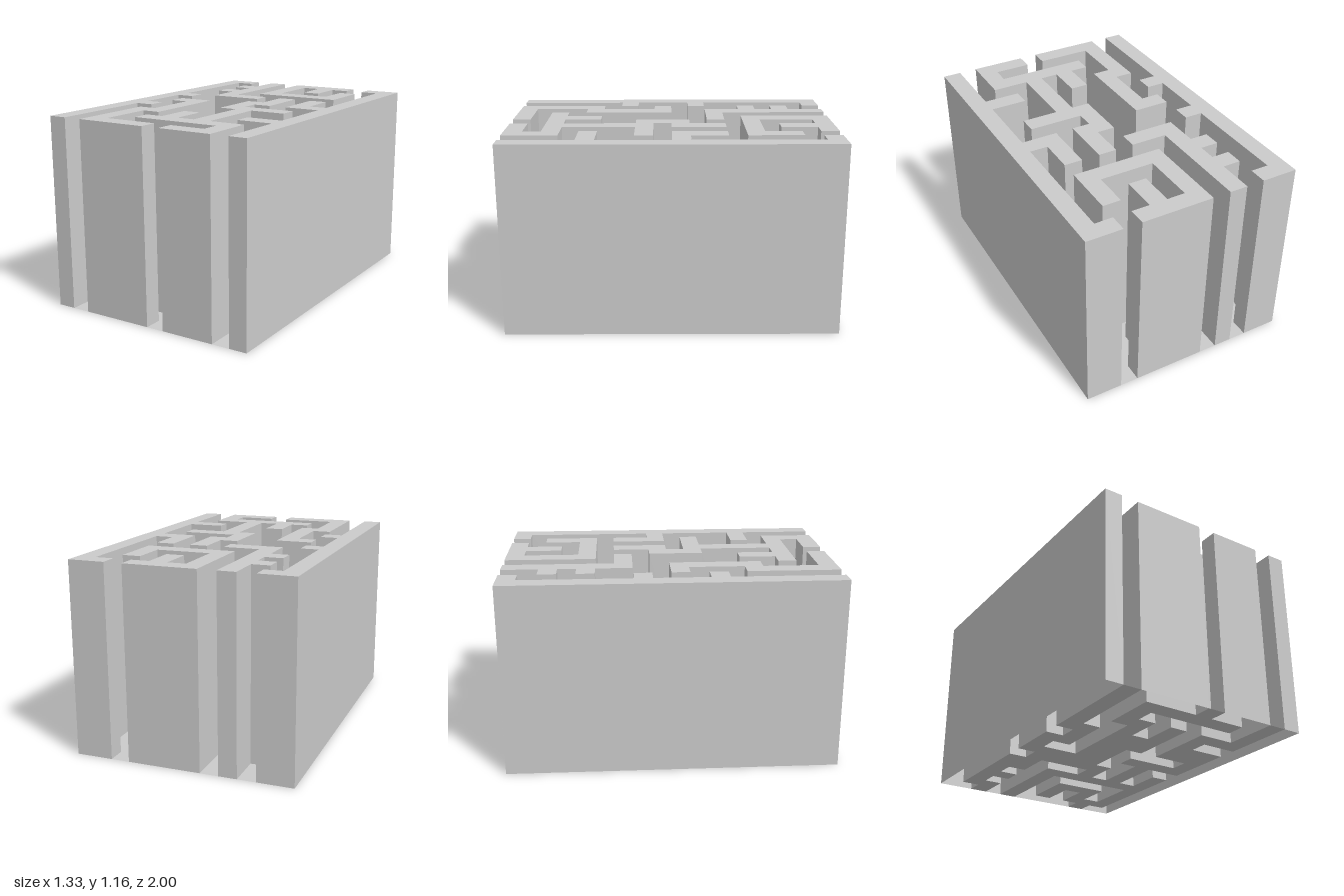
import * as THREE from 'three';

const CELL = 1 / 9, COLS = 12, ROWS = 18, HEIGHT = 1.165;

// Corridor-side outline of each wall in grid cells [column, row], row 0 at the back.
// Taken in order they run once around the corridor floor.
const WALLS = {
  leftOuterWall: {
    path: [[10, 0], [10, 1], [11, 1], [11, 8], [10, 8], [10, 6], [9, 6], [9, 9], [11, 9],
      [11, 13], [9, 13], [9, 14], [11, 14], [11, 18]],
    corners: [[12, 18], [12, 0]],
  },
  frontLeftWall: {
    path: [[10, 18], [10, 15], [8, 15], [8, 11], [10, 11], [10, 10], [7, 10], [7, 9], [8, 9],
      [8, 6], [7, 6], [7, 8], [6, 8], [6, 11], [7, 11], [7, 15], [6, 15], [6, 13], [5, 13],
      [5, 15], [4, 15], [4, 16], [9, 16], [9, 17], [7, 17], [7, 18]],
  },
  frontRightWall: {
    path: [[6, 18], [6, 17], [3, 17], [3, 14], [4, 14], [4, 9], [2, 9], [2, 10], [3, 10],
      [3, 13], [2, 13], [2, 18]],
  },
  rightOuterWall: {
    path: [[1, 18], [1, 12], [2, 12], [2, 11], [1, 11], [1, 8], [2, 8], [2, 7], [1, 7],
      [1, 1], [2, 1], [2, 0]],
    corners: [[0, 0], [0, 18]],
  },
  backRightWall: {
    path: [[3, 0], [3, 2], [2, 2], [2, 3], [3, 3], [3, 4], [2, 4], [2, 5], [3, 5], [3, 7],
      [6, 7], [6, 6], [4, 6], [4, 0]],
  },
  backLeftWall: {
    path: [[5, 0], [5, 5], [10, 5], [10, 2], [9, 2], [9, 4], [6, 4], [6, 1], [7, 1], [7, 3],
      [8, 3], [8, 1], [9, 1], [9, 0]],
  },
};

// Grid outline to a shape that lies flat after turning -90 degrees about x
function gridShape(points) {
  return new THREE.Shape(points.map(([c, r]) =>
    new THREE.Vector2((c - COLS / 2) * CELL, (ROWS / 2 - r) * CELL)));
}

// Hollow wall: top and sides, open underneath
function wallGeometry(points) {
  const solid = new THREE.ExtrudeGeometry(gridShape(points), { depth: HEIGHT, bevelEnabled: false });
  const bottomCount = solid.groups[0].count / 2; // the lower lid is stored first
  const geometry = new THREE.BufferGeometry();
  geometry.setAttribute('position',
    new THREE.BufferAttribute(solid.attributes.position.array.slice(bottomCount * 3), 3));
  geometry.computeVertexNormals();
  return geometry;
}

export function createModel() {
  const group = new THREE.Group();
  group.name = 'mazeBlock';
  const material = new THREE.MeshStandardMaterial({
    color: 0xcccccc, flatShading: true, side: THREE.DoubleSide,
  });

  function add(name, geometry) {
    const mesh = new THREE.Mesh(geometry.rotateX(-Math.PI / 2), material);
    mesh.name = name;
    group.add(mesh);
  }

  // Walls
  for (const [name, { path, corners = [] }] of Object.entries(WALLS)) {
    add(name, wallGeometry([...path, ...corners]));
  }

  // Thin corridor floor between the walls
  const floorOutline = Object.values(WALLS).flatMap((wall) => wall.path);
  add('corridorFloor', new THREE.ShapeGeometry(gridShape(floorOutline)));

  return group;
}
